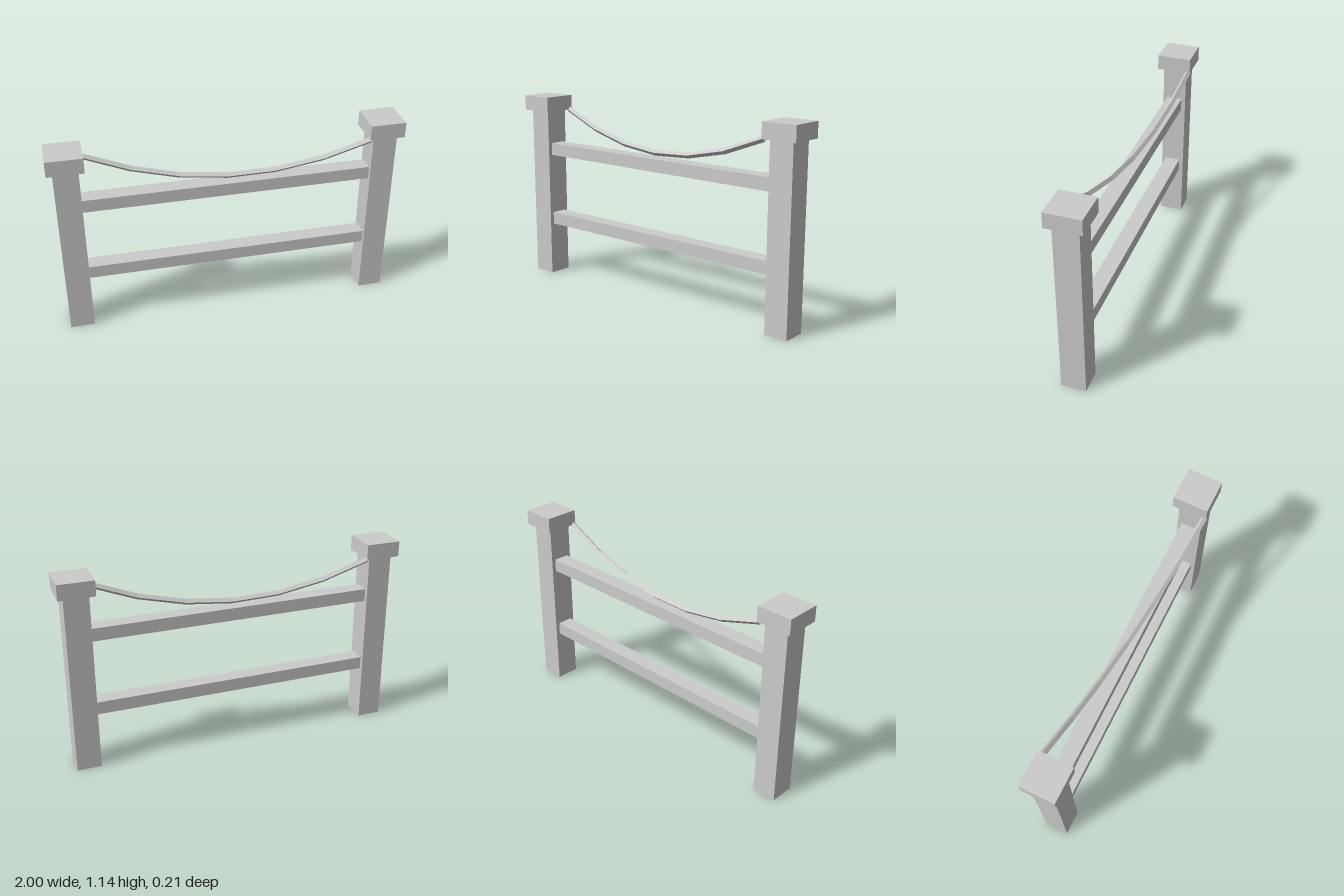
import * as THREE from 'three';

export function createModel() {
  const model = new THREE.Group();
  const grey = new THREE.MeshStandardMaterial({ color: 0xcccccc, flatShading: true });
  grey.name = 'grey';

  const add = (name, geometry, x = 0, y = 0, z = 0) => {
    const mesh = new THREE.Mesh(geometry, grey);
    mesh.name = name;
    mesh.position.set(x, y, z);
    model.add(mesh);
  };

  // Posts with square caps
  for (const [side, s] of [['left', 1], ['right', -1]]) {
    add(side + 'Post', new THREE.BoxGeometry(0.14, 1.052, 0.143), s * 0.897, 0.526, 0);
    add(side + 'Cap', new THREE.BoxGeometry(0.204, 0.09, 0.204), s * 0.898, 1.097, 0);
  }

  // Horizontal rails
  add('lowerRail', new THREE.BoxGeometry(1.66, 0.075, 0.094), 0, 0.362, 0);
  add('upperRail', new THREE.BoxGeometry(1.66, 0.075, 0.094), 0, 0.811, 0);

  // Sagging rope: diamond cross-section swept diagonally from cap to cap
  const path = new THREE.Curve();
  path.getPoint = (t, target = new THREE.Vector3()) => {
    const u = 2 * t - 1;
    return target.set(0.805 * u, 0.877 + 0.177 * u * u, 0.09 * u);
  };
  path.getPointAt = path.getPoint; // even spacing in x
  const r = 0.0175;
  const diamond = new THREE.Shape([[r, 0], [0, r], [-r, 0], [0, -r]].map(([x, y]) => new THREE.Vector2(x, y)));
  add('rope', new THREE.ExtrudeGeometry(diamond, { steps: 6, extrudePath: path, bevelEnabled: false }));

  return model;
}
